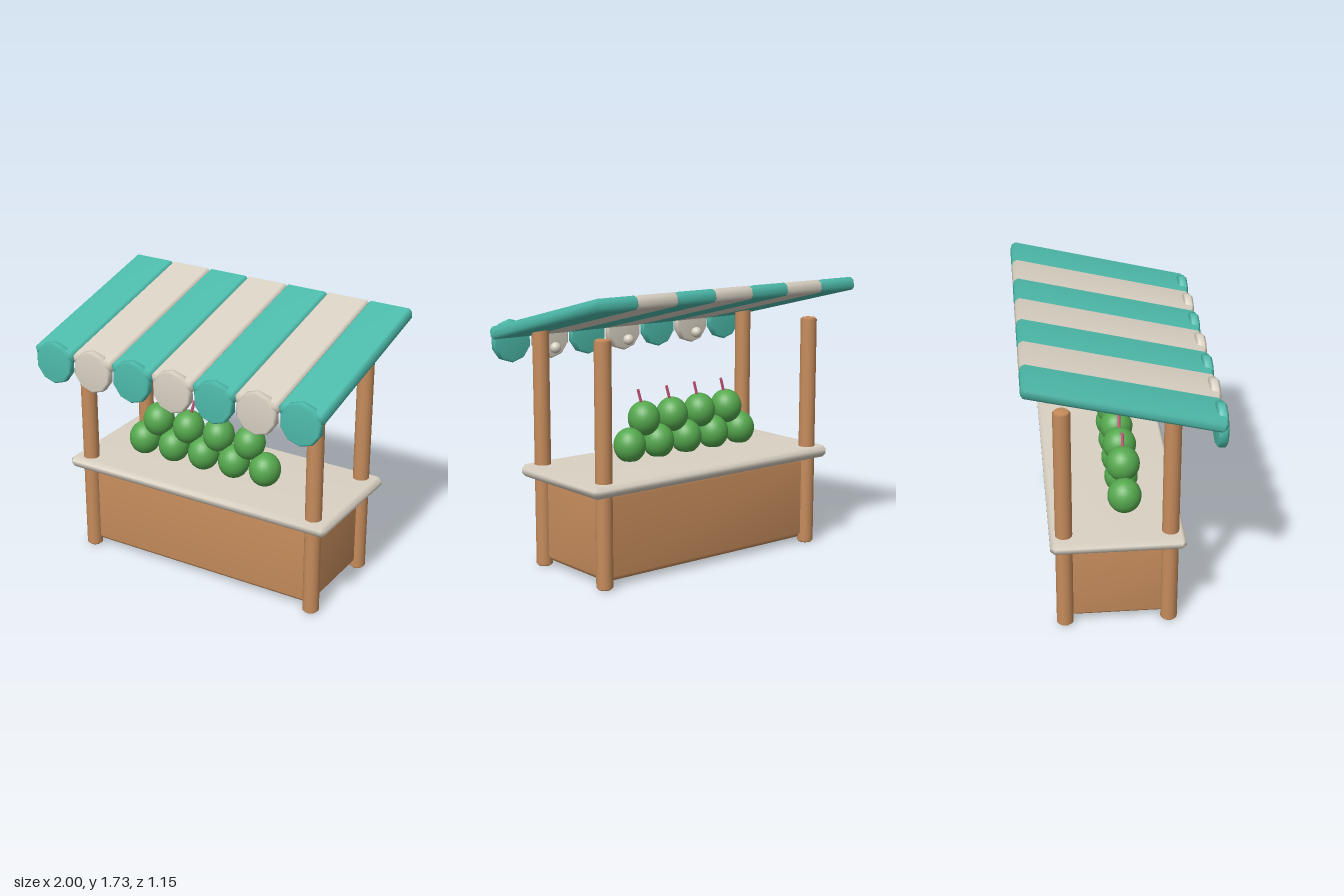
import * as THREE from 'three';
import { mergeVertices } from 'three/addons/utils/BufferGeometryUtils.js';
import { ConvexGeometry } from 'three/addons/geometries/ConvexGeometry.js';

const mat = (name, color) => Object.assign(new THREE.MeshStandardMaterial({ color }), { name });

// Box with cut edges and soft, shared normals
function bevelBox(w, h, d, c) {
  const pts = [];
  for (const x of [-w / 2, w / 2]) for (const y of [-h / 2, h / 2]) for (const z of [-d / 2, d / 2]) {
    const sx = Math.sign(x) * c, sy = Math.sign(y) * c, sz = Math.sign(z) * c;
    pts.push(
      new THREE.Vector3(x, y - sy, z - sz),
      new THREE.Vector3(x - sx, y, z - sz),
      new THREE.Vector3(x - sx, y - sy, z));
  }
  let g = new ConvexGeometry(pts);
  g.deleteAttribute('normal');
  g = mergeVertices(g, 1e-4);
  g.computeVertexNormals();
  return g;
}

// Closed round bar along y with cut rims
function bevelDisc(r, h, c, sides) {
  const p = [[0, -h / 2], [r - c, -h / 2], [r, -h / 2 + c], [r, h / 2 - c], [r - c, h / 2], [0, h / 2]];
  return new THREE.LatheGeometry(p.map(([x, y]) => new THREE.Vector2(x, y)), sides);
}

export function createModel() {
  const model = new THREE.Group();
  model.name = 'marketStall';
  const wood = mat('wood', 0xc68c5c);
  const cream = mat('cream', 0xd9d1c3);
  const teal = mat('teal', 0x4dbbab);
  const green = mat('fruitGreen', 0x55a84e);
  const pink = mat('strawPink', 0xd0587e);

  const add = (name, geometry, material, x, y, z) => {
    const mesh = new THREE.Mesh(geometry, material);
    mesh.name = name;
    mesh.position.set(x, y, z);
    model.add(mesh);
    return mesh;
  };

  // Counter
  add('counterBody', bevelBox(1.62, 0.54, 0.64, 0.035), wood, 0, 0.3, -0.033);
  add('counterTop', bevelBox(1.85, 0.075, 0.8, 0.025), cream, 0, 0.602, -0.032);

  // Posts
  const post = bevelDisc(0.051, 1.475, 0.012, 16);
  for (const x of [-0.81, 0.81]) {
    add('frontPost', post, wood, x, 0.7375, 0.283);
    add('backPost', post, wood, x, 0.7375, -0.348);
  }

  // Sloping awning strips, each with a round flap at the front
  const strip = bevelBox(0.29, 0.08, 1.168, 0.02);
  const flap = bevelDisc(0.133, 0.06, 0.013, 10);
  const bulb = new THREE.SphereGeometry(0.035, 16, 12);
  for (let i = -3; i <= 3; i++) {
    const x = i * 0.285;
    const color = i % 2 ? teal : cream;
    add('awningStrip', strip, color, x, 1.5625, -0.003).rotation.x = 0.238;
    add('awningFlap', flap, color, x, 1.373, 0.545).rotation.x = Math.PI / 2;
    if (i % 2 === 0) add('lightBulb', bulb, cream, x, 1.31, 0.48);
  }

  // Two rows of stacked fruit, straws in the upper row
  const fruit = new THREE.SphereGeometry(0.1, 24, 16).scale(1, 1.09, 1.03);
  const straw = new THREE.CylinderGeometry(0.009, 0.009, 0.14, 10);
  for (let i = 0; i < 5; i++) add('lowerFruit', fruit, green, -0.56 + i * 0.2235, 0.733, 0.033);
  for (let i = 0; i < 4; i++) {
    const x = -0.448 + i * 0.2235;
    add('upperFruit', fruit, green, x, 0.889, 0.033);
    add('straw', straw, pink, x + 0.026, 1.007, 0.033).rotation.z = -0.28;
  }
  return model;
}
